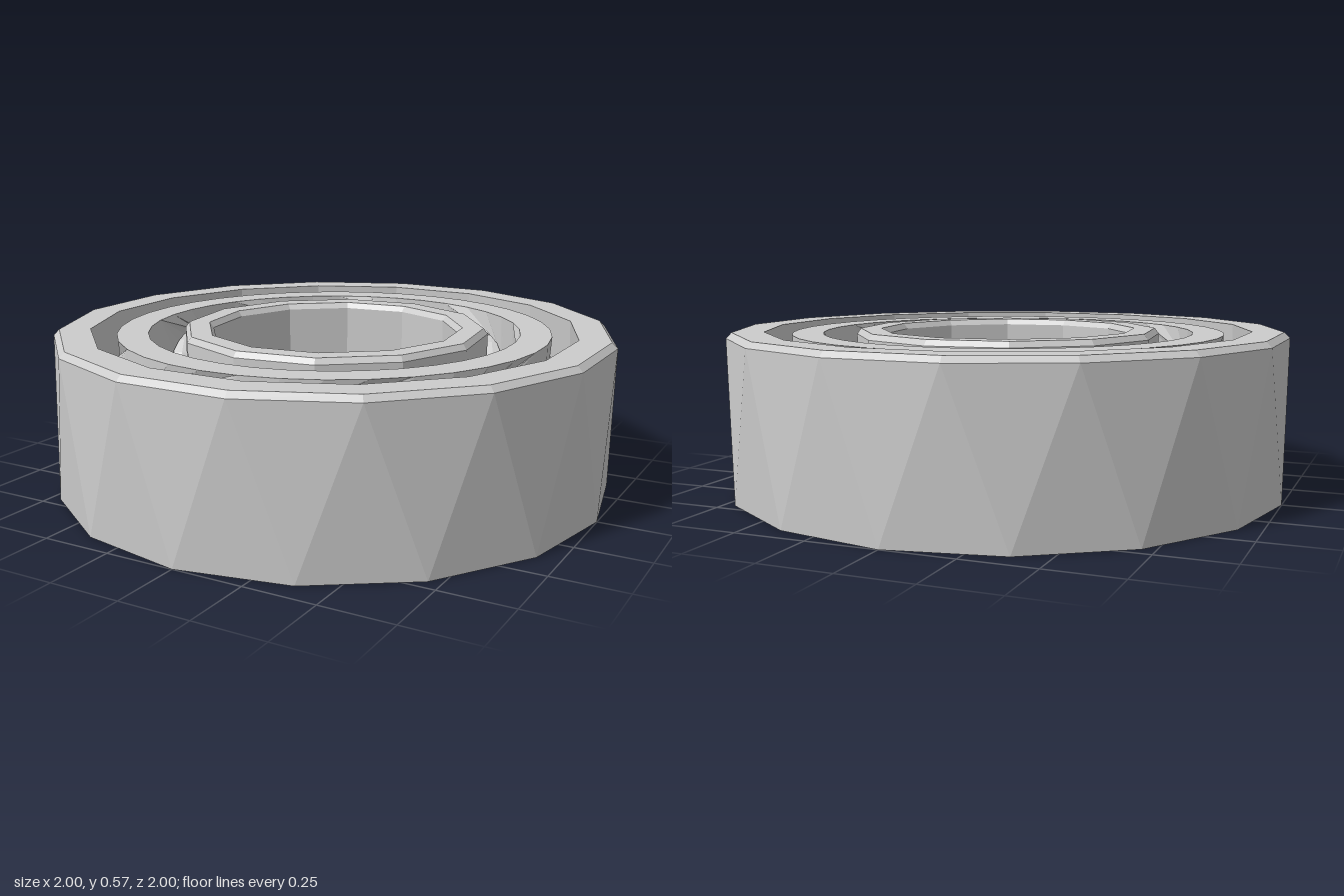
import * as THREE from 'three';

const steel = new THREE.MeshStandardMaterial({ color: 0xcccccc, flatShading: true });
const BALLS = 9, BALL_RADIUS = 0.18, PITCH_RADIUS = 0.69, MID_HEIGHT = 0.285;
const PITCH = (Math.PI * 2) / BALLS;
const FIRST_BALL = THREE.MathUtils.degToRad(-17);

// Faceted ring swept from profile points [radius, y, twist in facets],
// running up the outside, over the top and down the inside.
function facetedRing(name, profile, sides, phase = 0) {
  const positions = [], indices = [];
  profile.forEach(([r, y, twist]) => {
    for (let j = 0; j < sides; j++) {
      const a = phase + ((j + twist) / sides) * Math.PI * 2;
      positions.push(r * Math.cos(a), y, r * Math.sin(a));
    }
  });
  for (let i = 0; i < profile.length - 1; i++) {
    for (let j = 0; j < sides; j++) {
      const k = (j + 1) % sides;
      const a = i * sides + j, b = i * sides + k;
      const c = a + sides, d = b + sides;
      indices.push(a, c, b, b, c, d);
    }
  }
  const geometry = new THREE.BufferGeometry();
  geometry.setAttribute('position', new THREE.Float32BufferAttribute(positions, 3));
  geometry.setIndex(indices);
  geometry.computeVertexNormals();
  const mesh = new THREE.Mesh(geometry, steel);
  mesh.name = name;
  return mesh;
}

// One cage segment: a flat plate with a ball pocket, bent around the axis
function cageSegmentGeometry(inner, outer, bottom, top) {
  const steps = 4, mid = (inner + outer) / 2, half = (PITCH * mid) / 2;
  const edge = [];
  for (let i = 0; i <= steps; i++) edge.push(-half + (2 * half * i) / steps);
  const shape = new THREE.Shape([
    ...edge.map((x) => new THREE.Vector2(x, bottom)),
    ...edge.map((x) => new THREE.Vector2(-x, top)),
  ]);
  const pocket = new THREE.Path();
  pocket.absarc(0, MID_HEIGHT, BALL_RADIUS + 0.012, 0, Math.PI * 2, true);
  shape.holes.push(pocket);
  const geometry = new THREE.ExtrudeGeometry(shape, {
    depth: outer - inner, bevelEnabled: false, curveSegments: 12,
  });
  const p = geometry.attributes.position;
  for (let i = 0; i < p.count; i++) {
    const a = p.getX(i) / mid, r = inner + p.getZ(i);
    p.setXYZ(i, r * Math.sin(a), p.getY(i), r * Math.cos(a));
  }
  geometry.computeVertexNormals();
  return geometry;
}

export function createModel() {
  const model = new THREE.Group();
  model.name = 'ballBearing';

  // Outer race: chamfered top, inside flaring to a thin lip at the bottom
  model.add(facetedRing('outerRace', [
    [1, 0, 0], [1, 0.55, 0.5], [0.98, 0.57, 0.5], [0.87, 0.57, 0.5],
    [0.88, 0.26, 0.5], [0.98, 0, 1], [1, 0, 1],
  ], 16));

  // Inner race with a shallow ball groove and softened edges
  model.add(facetedRing('innerRace', [
    [0.45, 0, 0], [0.55, 0, 0], [0.55, 0.17, 0], [0.525, 0.285, 0], [0.55, 0.4, 0],
    [0.55, 0.55, 0], [0.535, 0.57, 0], [0.46, 0.57, 0], [0.445, 0.55, 0], [0.45, 0, 0],
  ], 12, 0.13));

  // Cage and balls
  const cage = new THREE.Group();
  cage.name = 'cage';
  const balls = new THREE.Group();
  balls.name = 'balls';
  const segment = cageSegmentGeometry(0.665, 0.775, 0.02, 0.56);
  const sphere = new THREE.SphereGeometry(BALL_RADIUS, 12, 8);
  for (let i = 0; i < BALLS; i++) {
    const angle = FIRST_BALL + i * PITCH;

    const plate = new THREE.Mesh(segment, steel);
    plate.name = 'cageSegment';
    plate.rotation.y = Math.PI / 2 - angle;
    cage.add(plate);

    const ball = new THREE.Mesh(sphere, steel);
    ball.name = 'ball';
    ball.position.set(PITCH_RADIUS * Math.cos(angle), MID_HEIGHT, PITCH_RADIUS * Math.sin(angle));
    ball.rotation.y = -angle;
    balls.add(ball);
  }
  model.add(cage, balls);
  return model;
}
